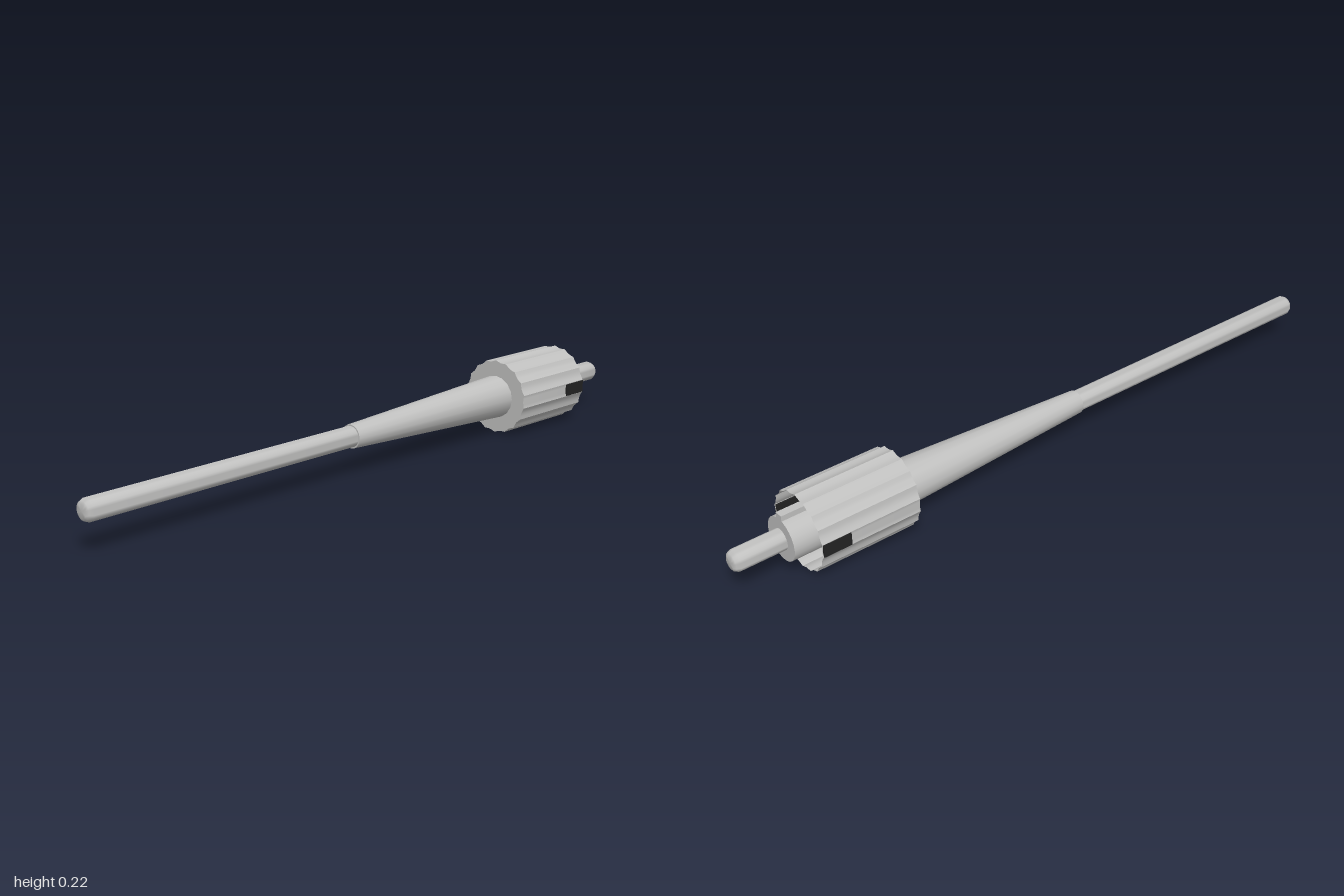
import * as THREE from 'three';
import { toCreasedNormals } from 'three/addons/utils/BufferGeometryUtils.js';

const AXIS_Y = 0.113;

export function createModel() {
  const model = new THREE.Group();
  model.name = 'fibreConnector';

  const grey = new THREE.MeshStandardMaterial({ color: 0xc0c0bf, side: THREE.DoubleSide });
  grey.name = 'light grey';
  const black = new THREE.MeshStandardMaterial({ color: 0x222222 });
  black.name = 'black';

  function add(name, geometry, material) {
    const mesh = new THREE.Mesh(geometry, material);
    mesh.name = name;
    model.add(mesh);
    return mesh;
  }

  // Round part along z from [radius, z] pairs, z ascending
  function turned(name, profile, sides) {
    const points = profile.map(([r, z]) => new THREE.Vector2(r, z));
    const geometry = new THREE.LatheGeometry(points, sides).rotateX(Math.PI / 2);
    add(name, toCreasedNormals(geometry, 0.9), grey).position.y = AXIS_Y;
  }

  // Cable, strain relief boot, inner core and ferrule
  turned('cable', [[0.03, 0.1], [0.03, 0.985], [0.025, 0.996], [0.018, 1], [0, 1]], 24);
  turned('strainReliefBoot', [[0.064, -0.51], [0.034, 0.115], [0.029, 0.115]], 16);
  turned('innerCore', [[0, -0.855], [0.062, -0.855], [0.062, -0.51]], 24);
  turned('ferrule', [[0, -1], [0.018, -1], [0.025, -0.996], [0.03, -0.985], [0.03, -0.85]], 24);

  // Fluted grip: 18 sharp ridges with hollow flutes between, open at the back
  const steps = 72;
  const fluteRadius = [0.112, 0.1085, 0.107, 0.1085];
  const radiusAt = (angle) => {
    const i = Math.round((angle / (Math.PI * 2)) * steps);
    return fluteRadius[((i % 4) + 4) % 4];
  };
  const shell = new THREE.CylinderGeometry(1, 1, 0.295, steps, 1, true).rotateX(Math.PI / 2);
  const pos = shell.attributes.position;
  for (let i = 0; i < pos.count; i++) {
    const angle = Math.atan2(pos.getX(i), pos.getY(i));
    const r = radiusAt(angle);
    pos.setXY(i, Math.sin(angle) * r, Math.cos(angle) * r);
  }
  add('gripSleeve', toCreasedNormals(shell, 0.5), grey).position.set(0, AXIS_Y, -0.6575);

  // Front wall of the grip
  const outline = [];
  for (let i = 0; i < steps; i++) {
    const angle = (-i / steps) * Math.PI * 2;
    const r = radiusAt(angle);
    outline.push(new THREE.Vector2(Math.sin(angle) * r, Math.cos(angle) * r));
  }
  const wall = new THREE.ShapeGeometry(new THREE.Shape(outline));
  add('gripFrontWall', wall, grey).position.set(0, AXIS_Y, -0.51);

  // Locating key on top of the core
  const key = new THREE.BoxGeometry(0.024, 0.022, 0.34);
  add('locatingKey', key, grey).position.set(0, AXIS_Y + 0.065, -0.685);

  // Dark marker plates on both sides of the grip
  for (const [name, side] of [['leftMarker', 1], ['rightMarker', -1]]) {
    const plate = new THREE.BoxGeometry(0.008, 0.036, 0.082);
    add(name, plate, black).position.set(side * 0.109, AXIS_Y, -0.762);
  }

  return model;
}
